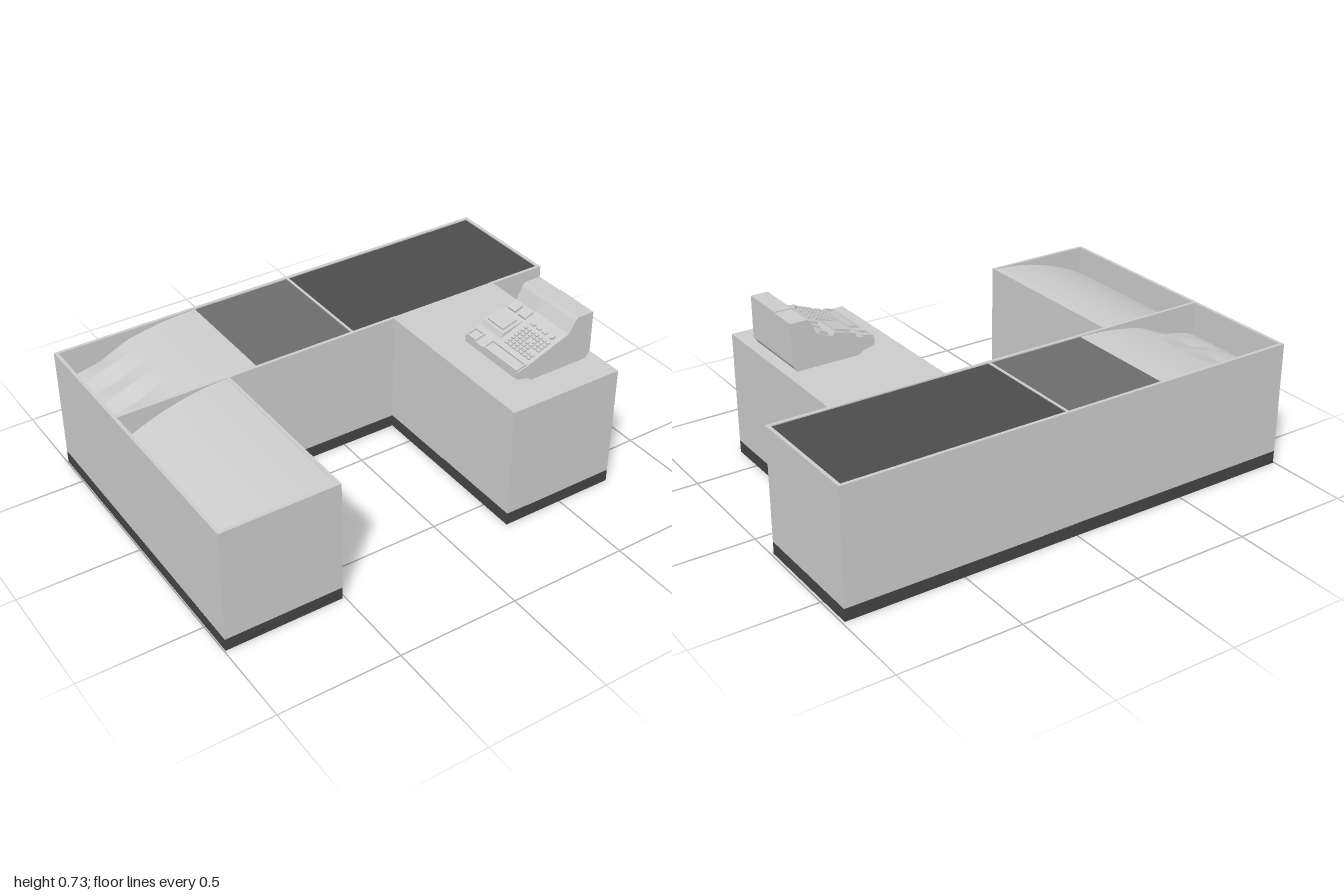
import * as THREE from 'three';

const paint = (color) => new THREE.MeshStandardMaterial({ color, flatShading: true, side: THREE.DoubleSide });
const grey = paint(0xcccccc);
const beltDark = paint(0x4c4c4c);
const beltMid = paint(0x6c6c6c);
const plinthDark = paint(0x444444);

const TOP = 0.535, X0 = -0.995, X1 = 0.99, ZB = -0.65, ZM = -0.13, ZF = 0.645;

function add(parent, name, geometry, material = grey) {
  const mesh = new THREE.Mesh(geometry, material);
  mesh.name = name;
  parent.add(mesh);
  return mesh;
}

// Box given by its limits on each axis
function block(parent, name, [xa, xb], [ya, yb], [za, zb], material) {
  const mesh = add(parent, name, new THREE.BoxGeometry(xb - xa, yb - ya, zb - za), material);
  mesh.position.set((xa + xb) / 2, (ya + yb) / 2, (za + zb) / 2);
  return mesh;
}

// U-shaped floor outline, pulled inward by t
function outline(t) {
  return [
    [X0 + t, ZB + t], [X1 - t, ZB + t], [X1 - t, ZM - t], [0.74 - t, ZM - t],
    [0.74 - t, ZF - t], [0.24 + t, ZF - t], [0.24 + t, ZM - t], [-0.51 - t, ZM - t],
    [-0.51 - t, ZF - t], [X0 + t, ZF - t],
  ].map(([x, z]) => new THREE.Vector2(x, -z));
}

// Hollow wall following the outline
function ring(thickness, y0, y1) {
  const shape = new THREE.Shape(outline(0));
  shape.holes.push(new THREE.Path(outline(thickness)));
  const geo = new THREE.ExtrudeGeometry(shape, { depth: y1 - y0, bevelEnabled: false });
  return geo.rotateX(-Math.PI / 2).translate(0, y0, 0);
}

// Sheet over a rectangle whose height follows a rule
function sheet([xa, xb], [za, zb], nx, nz, height) {
  const geo = new THREE.PlaneGeometry(xb - xa, zb - za, nx, nz).rotateX(-Math.PI / 2);
  geo.translate((xa + xb) / 2, 0, (za + zb) / 2);
  const p = geo.attributes.position;
  for (let i = 0; i < p.count; i++) p.setY(i, height(p.getX(i), p.getZ(i)));
  geo.computeVertexNormals();
  return geo;
}

// Side profile in x and y, extruded along z
function profile(points, za, zb) {
  const shape = new THREE.Shape(points.map(([x, y]) => new THREE.Vector2(x, y)));
  return new THREE.ExtrudeGeometry(shape, { depth: zb - za, bevelEnabled: false }).translate(0, 0, za);
}

function createCounter() {
  const g = new THREE.Group();
  g.name = 'counter';
  add(g, 'counterWalls', ring(0.014, 0.06, TOP));
  add(g, 'plinth', ring(0.036, 0.008, 0.062), plinthDark);

  // Conveyor belts with their frame
  block(g, 'mainBelt', [0.055, 0.977], [0.515, 0.531], [-0.635, -0.145], beltDark);
  block(g, 'rearBelt', [-0.385, 0.045], [0.515, 0.531], [-0.635, -0.145], beltMid);
  block(g, 'beltDivider', [0.045, 0.055], [0.51, 0.535], [-0.64, -0.14]);

  // Fluted chute falling towards the end of the main run
  add(g, 'goodsChute', sheet([-0.982, -0.385], [-0.637, -0.143], 18, 18, (x, z) => {
    const t = (-0.385 - x) / 0.6;
    const flute = Math.max(0, 1 - Math.abs(x + 0.82) / 0.13);
    const wave = Math.abs(((z + 0.637) / 0.494 * 3) % 1 - 0.5) * 2;
    return 0.531 - 0.14 * t * t - 0.022 * flute * wave;
  }));

  // Sloping packing shelf and the low partition behind it
  add(g, 'packingShelf', sheet([-0.982, -0.515], [-0.137, 0.632], 10, 1, (x) => {
    const t = (-0.515 - x) / 0.467;
    return 0.533 - 0.12 * t * t;
  }));
  block(g, 'partition', [-0.985, -0.515], [0.39, TOP], [-0.144, -0.13]);

  // Cashier desk top
  block(g, 'deskTop', [0.242, 0.738], [0.52, TOP], [-0.142, 0.643]);
  return g;
}

function createRegister() {
  const g = new THREE.Group();
  g.name = 'cashRegister';
  const foot = [[0.71, 0.565], [0.69, 0.536], [0.425, 0.536], [0.405, 0.55], [0.355, 0.562], [0.355, 0.592]];

  // Keyboard half and printer half of the case
  add(g, 'keyboardCase', profile([...foot, [0.4, 0.604], [0.56, 0.665], [0.595, 0.678], [0.625, 0.725],
    [0.638, 0.738], [0.71, 0.738]], 0.316, 0.51));
  add(g, 'printerCase', profile([...foot, [0.43, 0.612], [0.44, 0.632], [0.525, 0.656], [0.535, 0.64],
    [0.6, 0.668], [0.625, 0.72], [0.638, 0.734], [0.71, 0.734]], 0.19, 0.316));

  // Parts lying on the sloped face: x along the slope, z across
  const panel = new THREE.Group();
  panel.name = 'slopedPanel';
  panel.position.set(0.4, 0.604, 0);
  panel.rotation.z = Math.atan2(0.061, 0.16);
  g.add(panel);
  const onPanel = (name, xa, xb, za, zb, h = 0.006) => block(panel, name, [xa, xb], [-0.004, h], [za, zb]);

  for (let col = 0; col < 7; col++) {
    for (let row = 0; row < 7; row++) {
      if ((row === 2 && col > 4) || (row === 4 && col === 3)) continue;
      const x = 0.026 + row * 0.016, z = 0.345 + col * 0.022;
      onPanel('key', x, x + 0.011, z, z + 0.015, 0.007);
    }
  }
  for (const z of [0.35, 0.385, 0.42]) onPanel('functionKey', 0.15, 0.163, z, z + 0.024);
  const lock = add(panel, 'keyLock', new THREE.CylinderGeometry(0.011, 0.011, 0.014, 12));
  lock.position.set(0.158, 0.004, 0.475);

  // Front rail, coin tray, printer lid and paper slot
  for (const [z0, z1, name] of [[0.305, 0.502, 'frontRail'], [0.198, 0.25, 'smallTray']]) {
    const tray = new THREE.Group();
    tray.name = name;
    tray.position.set(0.38, 0.6, 0);
    tray.rotation.z = 0.27;
    g.add(tray);
    for (const x of [-0.022, 0.022]) block(tray, name + 'Edge', [x - 0.003, x + 0.003], [-0.006, 0.006], [z0, z1]);
    for (const z of [z0, z1]) block(tray, name + 'End', [-0.025, 0.025], [-0.006, 0.006], [z - 0.003, z + 0.003]);
  }
  const lid = block(g, 'printerLid', [0.448, 0.517], [0.642, 0.652], [0.205, 0.3]);
  lid.rotation.z = 0.27;
  for (const z of [0.2, 0.262]) {
    const roll = block(g, 'paperSlot', [0.55, 0.59], [0.652, 0.666], [z, z + 0.045]);
    roll.rotation.z = 0.4;
  }
  return g;
}

export function createModel() {
  const model = new THREE.Group();
  model.name = 'checkoutCounter';
  model.add(createCounter(), createRegister());
  return model;
}
